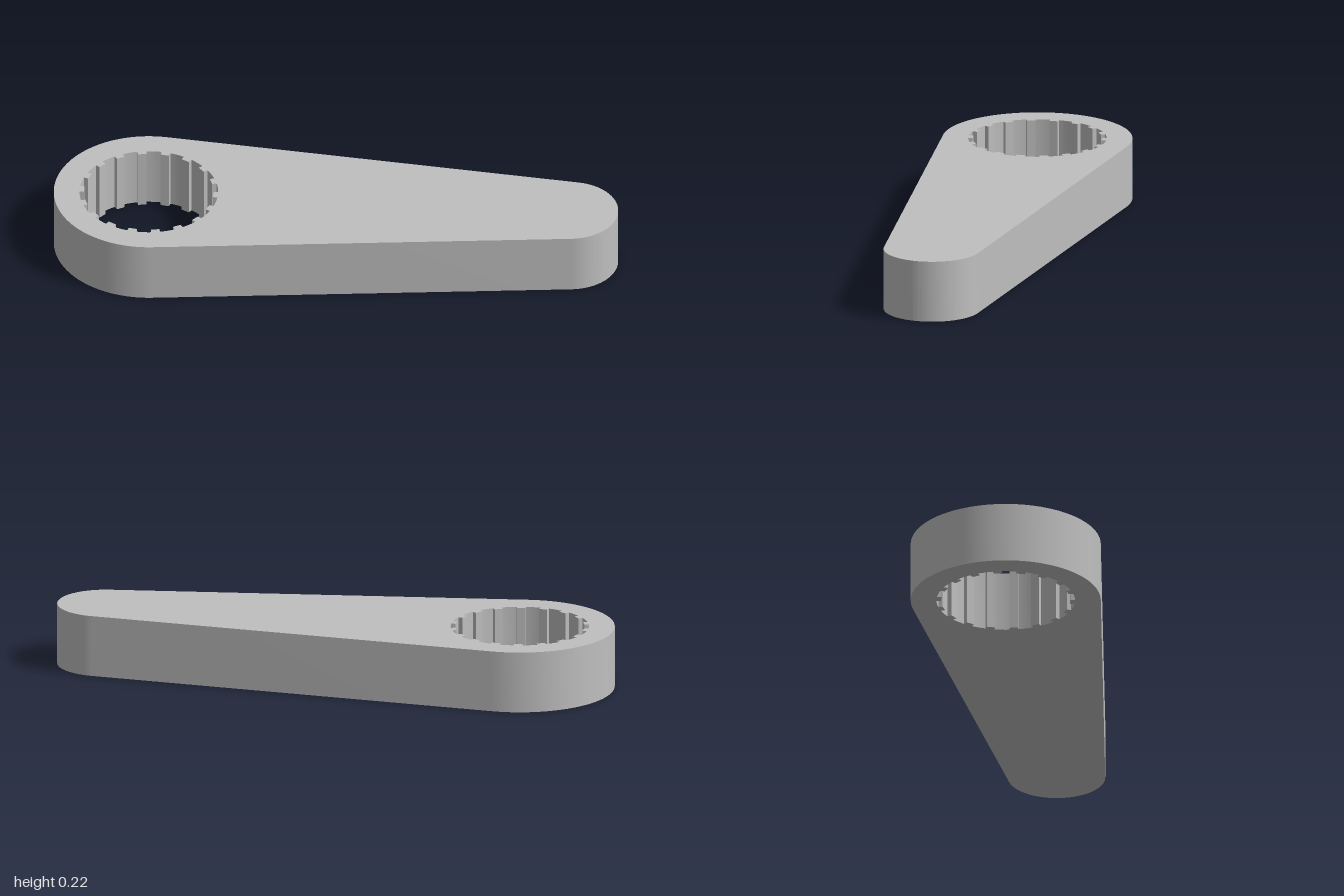
import * as THREE from 'three';
import { toCreasedNormals } from 'three/addons/utils/BufferGeometryUtils.js';

const HEIGHT = 0.22;
const BIG = { x: -0.664, r: 0.336 };    // splined end
const SMALL = { x: 0.828, r: 0.172 };   // plain end
const TEETH = 18, ROOT_R = 0.245, TIP_R = 0.229, HALF_TOOTH = 0.066;

// Two round ends joined by their common tangents
function armOutline() {
  const t = Math.acos((BIG.r - SMALL.r) / (SMALL.x - BIG.x));
  const shape = new THREE.Shape();
  shape.absarc(SMALL.x, 0, SMALL.r, -t, t, false);
  shape.absarc(BIG.x, 0, BIG.r, t, 2 * Math.PI - t, false);
  shape.closePath();
  return shape;
}

// Round bore with small square teeth pointing inwards
function splineHole() {
  const points = [];
  const add = (r, a) => points.push(new THREE.Vector2(BIG.x + r * Math.cos(a), r * Math.sin(a)));
  const step = (2 * Math.PI) / TEETH;
  for (let i = 0; i < TEETH; i++) {
    const a = i * step;
    add(TIP_R, a - HALF_TOOTH);
    add(TIP_R, a + HALF_TOOTH);
    for (let k = 0; k <= 4; k++) {
      add(ROOT_R, a + HALF_TOOTH + (k / 4) * (step - 2 * HALF_TOOTH));
    }
  }
  return new THREE.Path(points.reverse());
}

export function createModel() {
  const model = new THREE.Group();
  model.name = 'splinedLever';

  const grey = new THREE.MeshStandardMaterial({ color: 0xbfbfbf });
  grey.name = 'light grey';

  const shape = armOutline();
  shape.holes.push(splineHole());
  const geometry = new THREE.ExtrudeGeometry(shape, {
    depth: HEIGHT, bevelEnabled: false, curveSegments: 40,
  });
  geometry.rotateX(-Math.PI / 2);

  const arm = new THREE.Mesh(toCreasedNormals(geometry, Math.PI / 6), grey);
  arm.name = 'leverArm';
  model.add(arm);
  return model;
}
